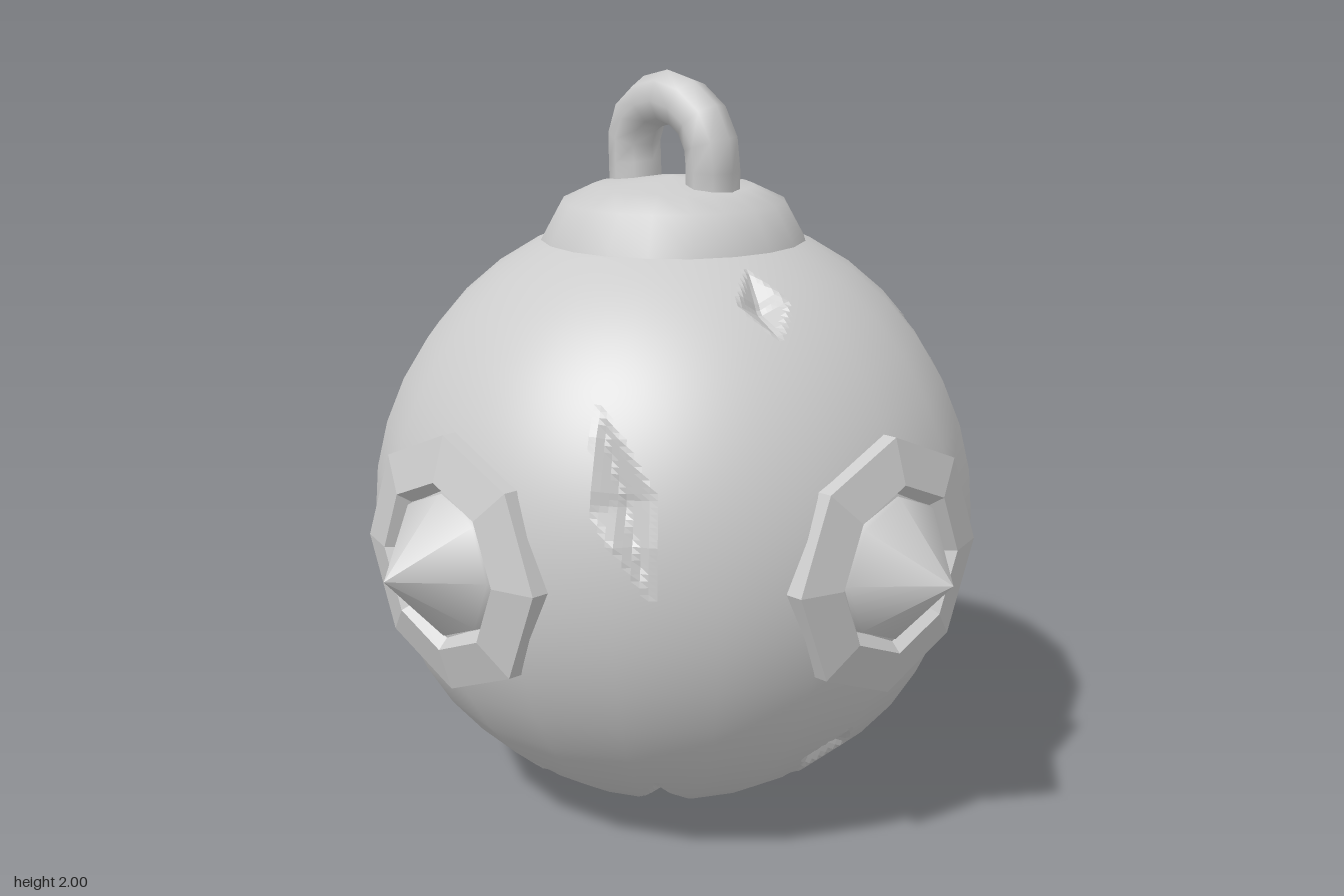
import * as THREE from 'three';

const R = 0.82; // body radius, also the height of its centre
const V = (x, y, z) => new THREE.Vector3(x, y, z);
const smooth = new THREE.MeshStandardMaterial({ color: 0xcccccc });
const flat = new THREE.MeshStandardMaterial({ color: 0xcccccc, flatShading: true });

function part(name, geometry, material) {
  const mesh = new THREE.Mesh(geometry, material);
  mesh.name = name;
  return mesh;
}

const lathe = (points, sides) =>
  new THREE.LatheGeometry(points.map(([r, y]) => new THREE.Vector2(r, y)), sides);

// A diamond-shaped pit: centre direction, long axis, half sizes and depth
function makeDent(centre, along, a, b, depth) {
  const c = centre.clone().normalize();
  const l = along.clone().addScaledVector(c, -along.dot(c)).normalize();
  return { c, l, s: c.clone().cross(l), a, b, depth };
}

function makeDents() {
  const dents = [
    makeDent(V(-0.15, 0.65, 0.48), V(0.07, 0.15, -0.19), 0.12, 0.07, 0.05),
    makeDent(V(-0.62, 0.23, 0.47), V(0.13, -0.47, 0.07), 0.24, 0.08, 0.05),
    makeDent(V(0.53, 0.47, 0.42), V(0.11, -0.18, 0.03), 0.11, 0.06, 0.04),
    makeDent(V(0.57, 0.43, -0.4), V(0.1, -0.32, -0.12), 0.17, 0.09, 0.06),
    makeDent(V(-0.19, 0.59, -0.54), V(0.04, 0.14, 0.17), 0.11, 0.07, 0.05),
    makeDent(V(0, -0.57, 0.59), V(0, 1, 0), 0.12, 0.09, 0.06),
    makeDent(V(-0.52, -0.47, -0.41), V(0.4, 0.2, -0.5), 0.1, 0.07, 0.05),
    makeDent(V(0, -1, 0), V(1, 0, 0), 0.07, 0.07, 0.04),
  ];
  // Star of leaf-shaped gouges around the underside
  for (const degrees of [2, 42, 92, 138, 178, 212, 238, 317]) {
    const t = THREE.MathUtils.degToRad(degrees);
    const out = V(Math.cos(t), 0, Math.sin(t));
    const centre = out.clone().multiplyScalar(Math.sin(0.36)).setY(-Math.cos(0.36));
    dents.push(makeDent(centre, out, 0.31, 0.09, 0.055));
  }
  return dents;
}

// Point on a coarse 20-sided ball, so the fine mesh keeps its broad facets
function coarsePoint(u, v) {
  const n = 20;
  const i = Math.floor(u * n), j = Math.floor(v * n);
  const corner = (a, b) => V().setFromSphericalCoords(R, (Math.PI * b) / n, (2 * Math.PI * a) / n);
  const upper = corner(i, j).lerp(corner(i + 1, j), u * n - i);
  const lower = corner(i, j + 1).lerp(corner(i + 1, j + 1), u * n - i);
  return upper.lerp(lower, v * n - j);
}

function bodyGeometry() {
  const cols = 240, rows = 160;
  const dents = makeDents();
  const fine = new THREE.SphereGeometry(R, cols, rows);
  const pos = fine.attributes.position;
  const depths = new Float32Array(pos.count);
  for (let k = 0; k < pos.count; k++) {
    const p = coarsePoint((k % (cols + 1)) / cols, Math.floor(k / (cols + 1)) / rows);
    const dir = p.clone().normalize();
    let depth = 0;
    for (const d of dents) {
      if (dir.dot(d.c) < 0.8) continue;
      const t = (Math.abs(dir.dot(d.l)) / d.a + Math.abs(dir.dot(d.s)) / d.b) * R;
      depth = Math.max(depth, d.depth * (1 - t));
    }
    depths[k] = depth;
    p.addScaledVector(dir, -depth);
    pos.setXYZ(k, p.x, p.y, p.z);
  }
  fine.setAttribute('depth', new THREE.BufferAttribute(depths, 1));
  // Flat normals inside the dents, round ones everywhere else
  const g = fine.toNonIndexed();
  g.computeVertexNormals();
  const { position, normal, depth } = g.attributes;
  const n = V();
  for (let k = 0; k < position.count; k += 3) {
    if (depth.getX(k) + depth.getX(k + 1) + depth.getX(k + 2) > 0) continue;
    for (let m = k; m < k + 3; m++) {
      n.fromBufferAttribute(position, m).normalize();
      normal.setXYZ(m, n.x, n.y, n.z);
    }
  }
  g.deleteAttribute('depth');
  return g.translate(0, R, 0);
}

// Octagonal plate with a recessed pointed stud, along +z
function makeStud() {
  const stud = new THREE.Group();
  stud.name = 'stud';
  const plate = lathe([[0.335, 0.68], [0.335, 0.785], [0.22, 0.82], [0.19, 0.79]], 8);
  const spike = lathe([[0.195, 0.76], [0.185, 0.805], [0, 0.977]], 8);
  stud.add(part('studPlate', plate.rotateX(Math.PI / 2), flat));
  stud.add(part('studSpike', spike.rotateX(Math.PI / 2), smooth));
  stud.position.y = R;
  return stud;
}

export function createModel() {
  const model = new THREE.Group();
  model.name = 'spikedBall';
  model.add(part('body', bodyGeometry(), smooth));

  // Four studs around the waist
  for (let i = 0; i < 4; i++) {
    const stud = makeStud();
    stud.rotation.y = (i * Math.PI) / 2;
    model.add(stud);
  }

  // Collar on top
  const collar = [[0.355, 1.5], [0.355, 1.56], [0.3, 1.66], [0.215, 1.7], [0, 1.725]];
  model.add(part('collar', lathe(collar, 20), smooth));

  // Hanging loop, leaning slightly sideways
  const path = new THREE.CatmullRomCurve3([
    V(0, 1.62, 0.148), V(0, 1.72, 0.148), V(-0.005, 1.81, 0.148), V(-0.012, 1.89, 0.105),
    V(-0.016, 1.93, 0),
    V(-0.012, 1.89, -0.105), V(-0.005, 1.81, -0.148), V(0, 1.72, -0.148), V(0, 1.62, -0.148),
  ]);
  model.add(part('hangingLoop', new THREE.TubeGeometry(path, 12, 0.071, 8), smooth));
  return model;
}
